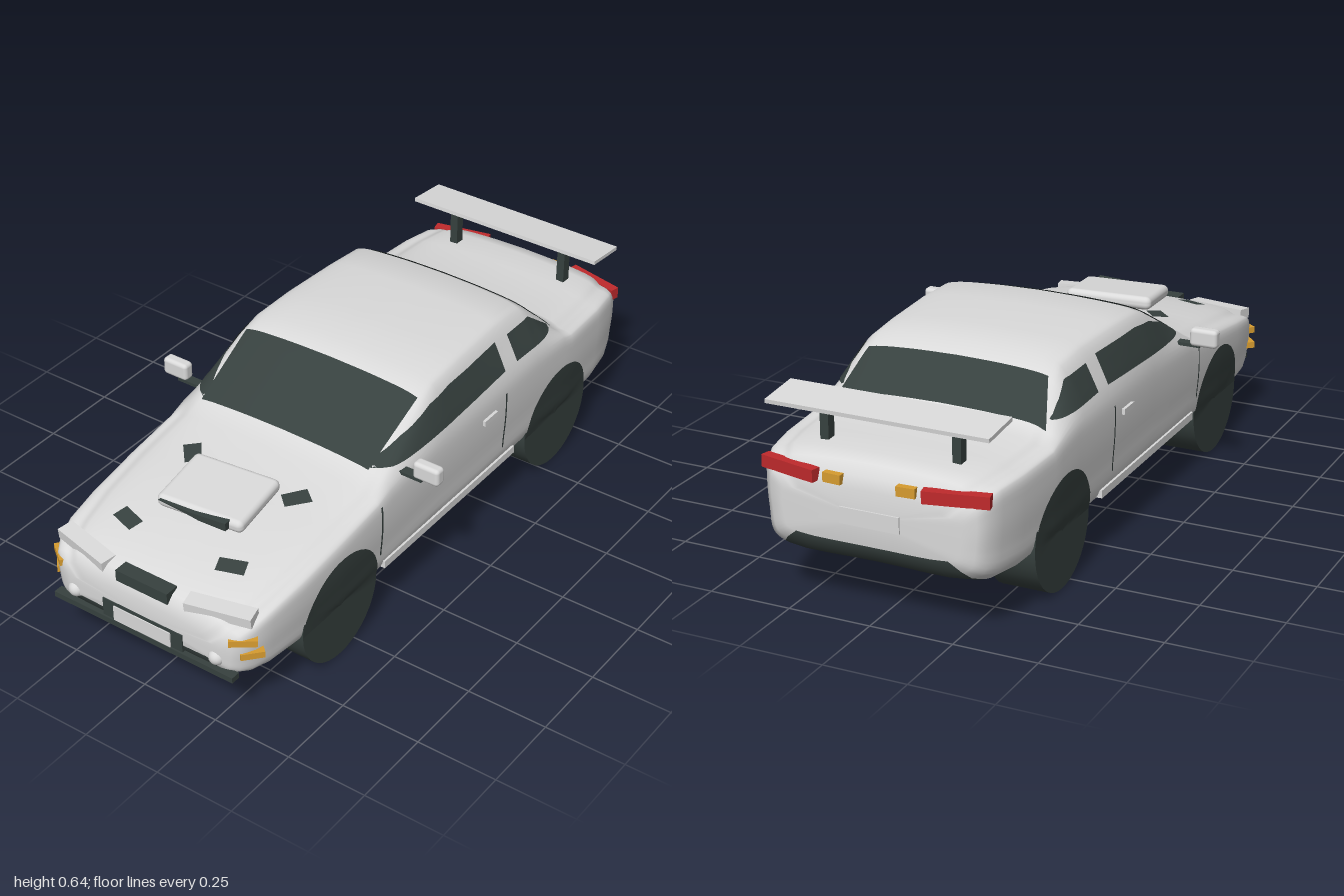
import * as THREE from 'three';
import { RoundedBoxGeometry } from 'three/addons/geometries/RoundedBoxGeometry.js';

const mat = (name, color, extra = {}) => new THREE.MeshStandardMaterial({ name, color, ...extra });
const white = mat('white paint', 0xdadada);
const dark = mat('dark trim and glass', 0x37413f, { side: THREE.DoubleSide });
const amber = mat('amber lamp', 0xd79c30);
const red = mat('red lamp', 0xc02a2c);

// Body stations: z, half width, floor y, belt y, top y, roof half width
const STATIONS = [
  [0.99, 0.26, 0.21, 0.26, 0.30, 0.22], [0.982, 0.30, 0.185, 0.29, 0.335, 0.26],
  [0.965, 0.325, 0.17, 0.31, 0.352, 0.275], [0.93, 0.345, 0.158, 0.33, 0.368, 0.295],
  [0.87, 0.36, 0.15, 0.35, 0.388, 0.31], [0.75, 0.372, 0.147, 0.37, 0.415, 0.325],
  [0.58, 0.377, 0.147, 0.395, 0.442, 0.335], [0.40, 0.378, 0.147, 0.42, 0.464, 0.34],
  [0.34, 0.378, 0.147, 0.44, 0.495, 0.335], [0.12, 0.378, 0.147, 0.465, 0.615, 0.32],
  [0.05, 0.378, 0.147, 0.47, 0.642, 0.315], [-0.10, 0.378, 0.147, 0.47, 0.648, 0.31],
  [-0.30, 0.378, 0.147, 0.47, 0.646, 0.30], [-0.43, 0.378, 0.147, 0.47, 0.635, 0.298],
  [-0.48, 0.378, 0.147, 0.467, 0.60, 0.305], [-0.585, 0.378, 0.147, 0.45, 0.50, 0.325],
  [-0.63, 0.377, 0.147, 0.435, 0.476, 0.33], [-0.80, 0.368, 0.147, 0.43, 0.472, 0.32],
  [-0.90, 0.352, 0.155, 0.425, 0.468, 0.305], [-0.95, 0.335, 0.175, 0.41, 0.455, 0.28],
  [-0.972, 0.31, 0.20, 0.385, 0.425, 0.26], [-0.983, 0.27, 0.23, 0.35, 0.39, 0.22],
];

// Half cross-section from floor centre, up the side, to roof centre
function halfSection([z, w, yb, belt, top, rw]) {
  const y = (f) => yb + (belt - yb) * f;
  const edge = top - 0.03;
  const pts = [
    [0, yb], [0.8 * w, yb + 0.003], [0.95 * w, y(0.12)], [0.985 * w, y(0.42)], [w, y(0.78)],
    [0.985 * w, belt], [(0.985 * w + rw) / 2 + 0.004, (belt + edge) / 2 + 0.004], [rw, edge],
    [0.9 * rw, top - 0.016], [0.5 * rw, top - 0.004], [0, top],
  ];
  const curve = new THREE.CatmullRomCurve3(pts.map((p) => new THREE.Vector3(p[0], p[1], z)), false, 'centripetal');
  return curve.getPoints((pts.length - 1) * 4);
}

// Lofted shell: painted skin plus dark floor
function makeBody() {
  const pos = [], skin = [], floor = [];
  let n = 0;
  for (const s of STATIONS) {
    const half = halfSection(s);
    const ring = [...half, ...half.slice(1, -1).reverse().map((p) => new THREE.Vector3(-p.x, p.y, p.z))];
    n = ring.length;
    ring.forEach((p) => pos.push(p.x, p.y, p.z));
  }
  const last = STATIONS.length - 1;
  for (let i = 0; i < last; i++) {
    for (let j = 0; j < n; j++) {
      const k = (j + 1) % n, a = i * n, b = a + n;
      (j < 5 || j >= n - 5 ? floor : skin).push(a + j, b + j, b + k, a + j, b + k, a + k);
    }
  }
  const front = pos.length / 3, rear = front + 1;
  pos.push(0, 0.25, 0.992, 0, 0.31, -0.986);
  for (let j = 0; j < n; j++) {
    const k = (j + 1) % n;
    skin.push(front, j, k, rear, last * n + k, last * n + j);
  }
  const g = new THREE.BufferGeometry();
  g.setAttribute('position', new THREE.Float32BufferAttribute(pos, 3));
  g.setIndex([...skin, ...floor]);
  g.addGroup(0, skin.length, 0);
  g.addGroup(skin.length, floor.length, 1);
  g.computeVertexNormals();
  const mesh = new THREE.Mesh(g, [white, dark]);
  mesh.name = 'body';
  return mesh;
}

// Linear lookup in a list of [x, y] pairs, x falling
function lookup(table, x) {
  for (let i = 1; i < table.length; i++) {
    const [x0, y0] = table[i - 1], [x1, y1] = table[i];
    if (x >= x1 || i === table.length - 1) return y0 + ((y1 - y0) * (x - x0)) / (x1 - x0);
  }
}

export function createModel() {
  const car = new THREE.Group();
  car.name = 'car';
  const body = makeBody();
  car.add(body);
  const add = (name, geo, material, p = [0, 0, 0], r = [0, 0, 0]) => {
    const m = new THREE.Mesh(geo, material);
    m.name = name;
    m.position.set(...p);
    m.rotation.set(...r);
    car.add(m);
    return m;
  };
  const box = (name, size, material, p, r) => add(name, new THREE.BoxGeometry(...size), material, p, r);
  const rbox = (name, size, radius, material, p, r) =>
    add(name, new RoundedBoxGeometry(...size, 3, radius), material, p, r);

  // Thin patch laid on the body; side = +1/-1 for flanks (fn gives z, y), 0 for top (fn gives x, z)
  const ray = new THREE.Raycaster();
  const drape = (name, side, fn, nu, nv, floorX = 0) => {
    const pos = [], idx = [];
    for (let i = 0; i <= nu; i++) {
      for (let j = 0; j <= nv; j++) {
        const [a, b] = fn(i / nu, j / nv);
        const o = side ? new THREE.Vector3(side * 2, b, a) : new THREE.Vector3(a, 2, b);
        ray.set(o, side ? new THREE.Vector3(-side, 0, 0) : new THREE.Vector3(0, -1, 0));
        const hit = ray.intersectObject(body)[0];
        if (side) pos.push(side * Math.max(hit ? Math.abs(hit.point.x) + 0.004 : 0, floorX), b, a);
        else pos.push(a, (hit ? hit.point.y : 0.4) + 0.004, b);
        if (i < nu && j < nv) {
          const q = i * (nv + 1) + j, r = q + nv + 1;
          if (side < 0) idx.push(q, r, r + 1, q, r + 1, q + 1);
          else idx.push(q, r + 1, r, q, q + 1, r + 1);
        }
      }
    }
    const g = new THREE.BufferGeometry();
    g.setAttribute('position', new THREE.Float32BufferAttribute(pos, 3));
    g.setIndex(idx);
    g.computeVertexNormals();
    return add(name, g, dark);
  };
  const quad = (p) => (u, v) => [0, 1].map((k) =>
    (p[0][k] * (1 - u) + p[1][k] * u) * (1 - v) + (p[3][k] * (1 - u) + p[2][k] * u) * v);
  const band = (low, high) => (u, v) => {
    const z = high[0][0] + (high[high.length - 1][0] - high[0][0]) * u;
    return [z, lookup(low, z) * (1 - v) + lookup(high, z) * v];
  };

  // Glass
  drape('windshield', 0, quad([[-0.305, 0.115], [0.305, 0.115], [0.297, 0.345], [-0.297, 0.345]]), 24, 12);
  drape('rearWindow', 0, quad([[-0.325, -0.585], [0.325, -0.585], [0.28, -0.475], [-0.28, -0.475]]), 24, 10);

  for (const s of [1, -1]) {
    drape('doorWindow', s, band([[0.335, 0.483], [-0.26, 0.505]],
      [[0.335, 0.488], [0.22, 0.537], [0.1, 0.578], [0, 0.59], [-0.26, 0.592]]), 30, 6);
    drape('quarterWindow', s, band([[-0.325, 0.505], [-0.555, 0.497]],
      [[-0.325, 0.585], [-0.45, 0.58], [-0.555, 0.5]]), 18, 6);

    // Door seams, handle, sill strip
    drape('doorSeam', s, quad([[0.397, 0.245], [0.39, 0.245], [0.39, 0.415], [0.397, 0.415]]), 1, 8);
    drape('doorSeam', s, quad([[-0.242, 0.24], [-0.249, 0.24], [-0.249, 0.44], [-0.242, 0.44]]), 1, 8);
    box('doorHandle', [0.012, 0.017, 0.068], white, [s * 0.381, 0.402, -0.157]);
    box('sillStrip', [0.02, 0.024, 0.685], white, [s * 0.364, 0.193, 0.028]);

    // Hood vents
    drape('hoodVent', 0, quad([[-0.188, 0.484], [-0.14, 0.543], [-0.177, 0.575], [-0.23, 0.516]]
      .map(([x, z]) => [s * x, z])), 4, 4);
    drape('hoodVent', 0, quad([[-0.214, 0.787], [-0.135, 0.814], [-0.15, 0.856], [-0.23, 0.83]]
      .map(([x, z]) => [s * x, z])), 4, 4);

    // Wheels with a flush outer face
    for (const z of [0.575, -0.563]) {
      add('wheel', new THREE.CylinderGeometry(0.174, 0.174, 0.143, 40), dark, [s * 0.2935, 0.18, z], [0, 0, Math.PI / 2]);
      drape('wheelFace', s, (u, v) => [z + 0.174 * v * Math.cos(u * 2 * Math.PI),
        0.18 + 0.174 * v * Math.sin(u * 2 * Math.PI)], 40, 10, 0.366);
    }

    // Mirrors
    rbox('mirror', [0.087, 0.056, 0.038], 0.012, white, [s * 0.447, 0.491, 0.267]);
    box('mirrorArm', [0.085, 0.01, 0.03], dark, [s * 0.392, 0.464, 0.27]);

    // Front lamps
    box('headlight', [0.2, 0.032, 0.05], white, [s * 0.235, 0.348, 0.938], [0.1, s * 0.22, 0]);
    add('fogLamp', new THREE.SphereGeometry(0.025, 20, 14), white, [s * 0.248, 0.221, 0.978]);
    box('turnSignal', [0.08, 0.02, 0.03], amber, [s * 0.319, 0.292, 0.953], [0, s * 0.65, 0]);
    box('turnSignal', [0.068, 0.02, 0.03], amber, [s * 0.335, 0.247, 0.937], [0, s * 0.85, 0]);

    // Rear lamps
    box('tailLight', [0.185, 0.036, 0.03], red, [s * 0.25, 0.41, -0.966], [0, s * -0.22, 0]);
    box('rearSignal', [0.055, 0.028, 0.03], amber, [s * 0.11, 0.41, -0.976], [0, s * -0.06, 0]);

    box('wingPost', [0.026, 0.125, 0.032], dark, [s * 0.2, 0.522, -0.852]);
  }

  // Front end
  box('grille', [0.18, 0.036, 0.045], dark, [0, 0.347, 0.966]);
  box('plateFrame', [0.28, 0.062, 0.025], dark, [0, 0.218, 0.982]);
  box('frontPlate', [0.2, 0.05, 0.008], white, [0, 0.214, 0.994]);
  box('bumperStrip', [0.63, 0.018, 0.03], dark, [0, 0.181, 0.985]);

  // Hood scoop, set slightly askew, with dark mouth
  rbox('hoodScoop', [0.28, 0.042, 0.215], 0.018, white, [0, 0.456, 0.643], [0.09, 0.1, 0]);
  const mouth = new THREE.Shape([[-0.115, 0.459], [0, 0.459], [0.11, 0.467], [0.11, 0.442], [0.02, 0.442], [-0.03, 0.45]]
    .map((p) => new THREE.Vector2(...p)));
  add('scoopMouth', new THREE.ExtrudeGeometry(mouth, { depth: 0.03, bevelEnabled: false }), dark, [0, 0, 0.733], [0, 0.06, 0]);

  // Rear end
  box('rearPlate', [0.18, 0.048, 0.012], white, [0, 0.31, -0.984]);
  box('rearWing', [0.67, 0.012, 0.137], white, [0, 0.584, -0.878], [-0.1, 0, 0]);
  return car;
}
